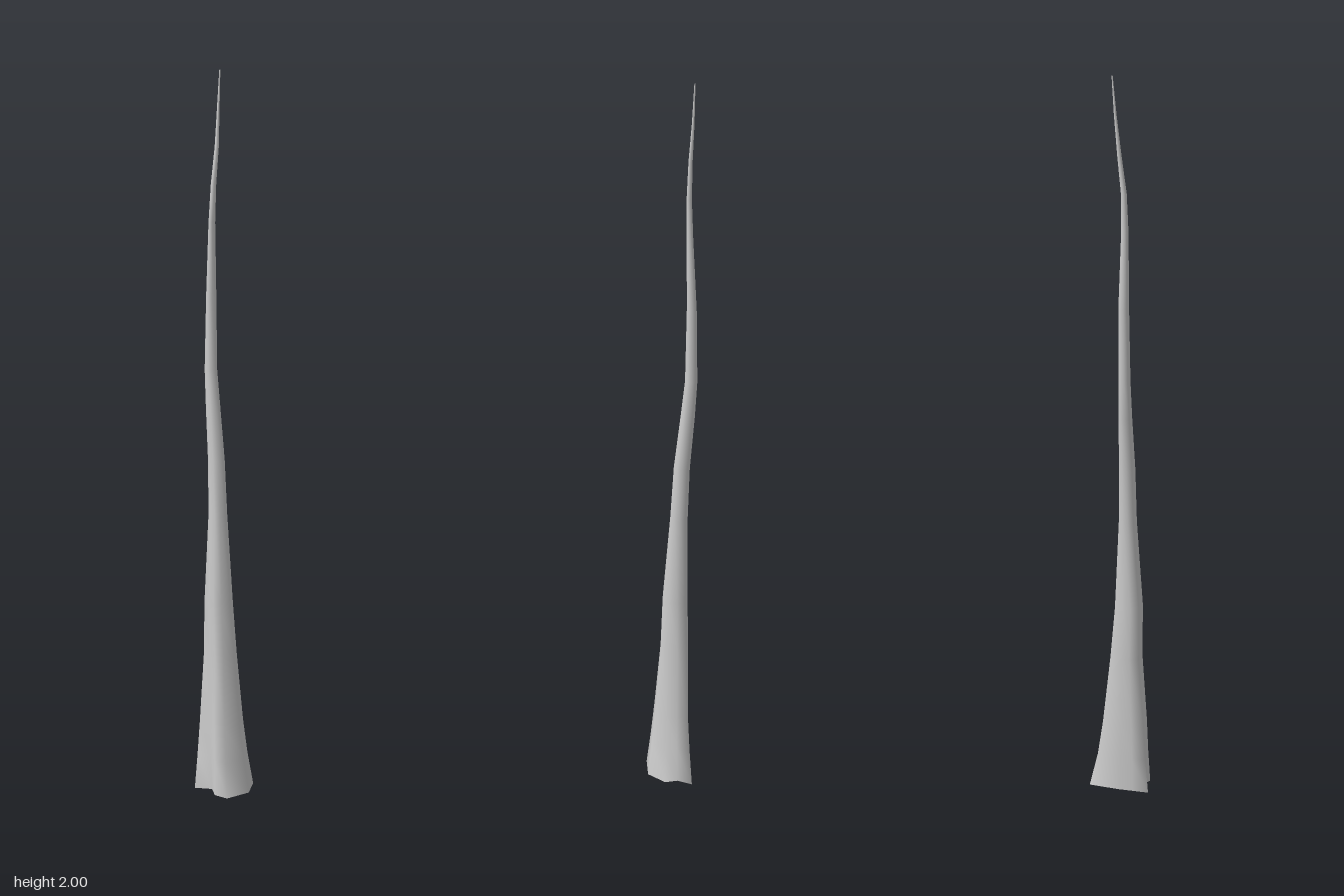
import * as THREE from 'three';

// Fluted root outline at the ground (x, z), from the front towards +x
const ROOT = [
  [-0.012, 0.076], [0.047, 0.045], [0.052, 0.01], [0.086, -0.022], [0.0, -0.045],
  [-0.04, -0.052], [-0.085, -0.06], [-0.06, -0.018], [-0.087, 0.015], [-0.083, 0.055],
];

// Trunk extents at each height: y, min x, max x, min z, max z
const RINGS = [
  [0, -0.087, 0.086, -0.062, 0.077],
  [0.1, -0.081, 0.062, -0.059, 0.063],
  [0.2, -0.077, 0.047, -0.055, 0.05],
  [0.4, -0.064, 0.025, -0.053, 0.031],
  [0.55, -0.065, 0.012, -0.052, 0.022],
  [0.8, -0.048, 0.001, -0.05, 0.001],
  [0.95, -0.044, 0, -0.055, -0.009],
  [1.1, -0.036, 0, -0.068, -0.027],
  [1.2, -0.032, 0, -0.074, -0.039],
  [1.4, -0.028, 0, -0.07, -0.043],
  [1.6, -0.026, -0.007, -0.06, -0.043],
  [1.7, -0.021, -0.006, -0.055, -0.041],
  [1.8, -0.007, 0.004, -0.052, -0.041],
  [1.9, 0.005, 0.012, -0.053, -0.046],
  [2, 0.015, 0.018, -0.052, -0.049],
];

// Stretch a list of values to fill the range lo..hi
function fit(values, lo, hi) {
  const min = Math.min(...values), max = Math.max(...values);
  return values.map(v => lo + (v - min) / (max - min) * (hi - lo));
}

// Cross-section: root flutes near the ground fading to a round stem
function ring([y, x0, x1, z0, z1]) {
  const round = 1 - Math.pow(Math.max(0, 1 - y / 1.1), 1.5);
  const outline = ROOT.map(([x, z], i) => {
    const a = i / ROOT.length * Math.PI * 2;
    return [
      THREE.MathUtils.lerp(x / 0.086, Math.sin(a), round),
      THREE.MathUtils.lerp((z - 0.008) / 0.068, Math.cos(a), round),
    ];
  });
  const xs = fit(outline.map(p => p[0]), x0, x1);
  const zs = fit(outline.map(p => p[1]), z0, z1);
  return xs.map((x, i) => [x, y, zs[i]]);
}

export function createModel() {
  const n = ROOT.length;
  const positions = RINGS.flatMap(r => ring(r).flat());
  const index = [];
  for (let r = 0; r < RINGS.length - 1; r++) {
    for (let i = 0; i < n; i++) {
      const a = r * n + i, b = r * n + (i + 1) % n;
      index.push(a, b, a + n, b, b + n, a + n);
    }
  }
  const geometry = new THREE.BufferGeometry();
  geometry.setAttribute('position', new THREE.Float32BufferAttribute(positions, 3));
  geometry.setIndex(index);
  geometry.computeVertexNormals();

  // Open-bottomed tapering trunk
  const trunk = new THREE.Mesh(geometry, new THREE.MeshStandardMaterial({
    color: 0xcccccc, side: THREE.DoubleSide,
  }));
  trunk.name = 'trunk';
  const model = new THREE.Group();
  model.name = 'bareTrunk';
  model.add(trunk);
  return model;
}
